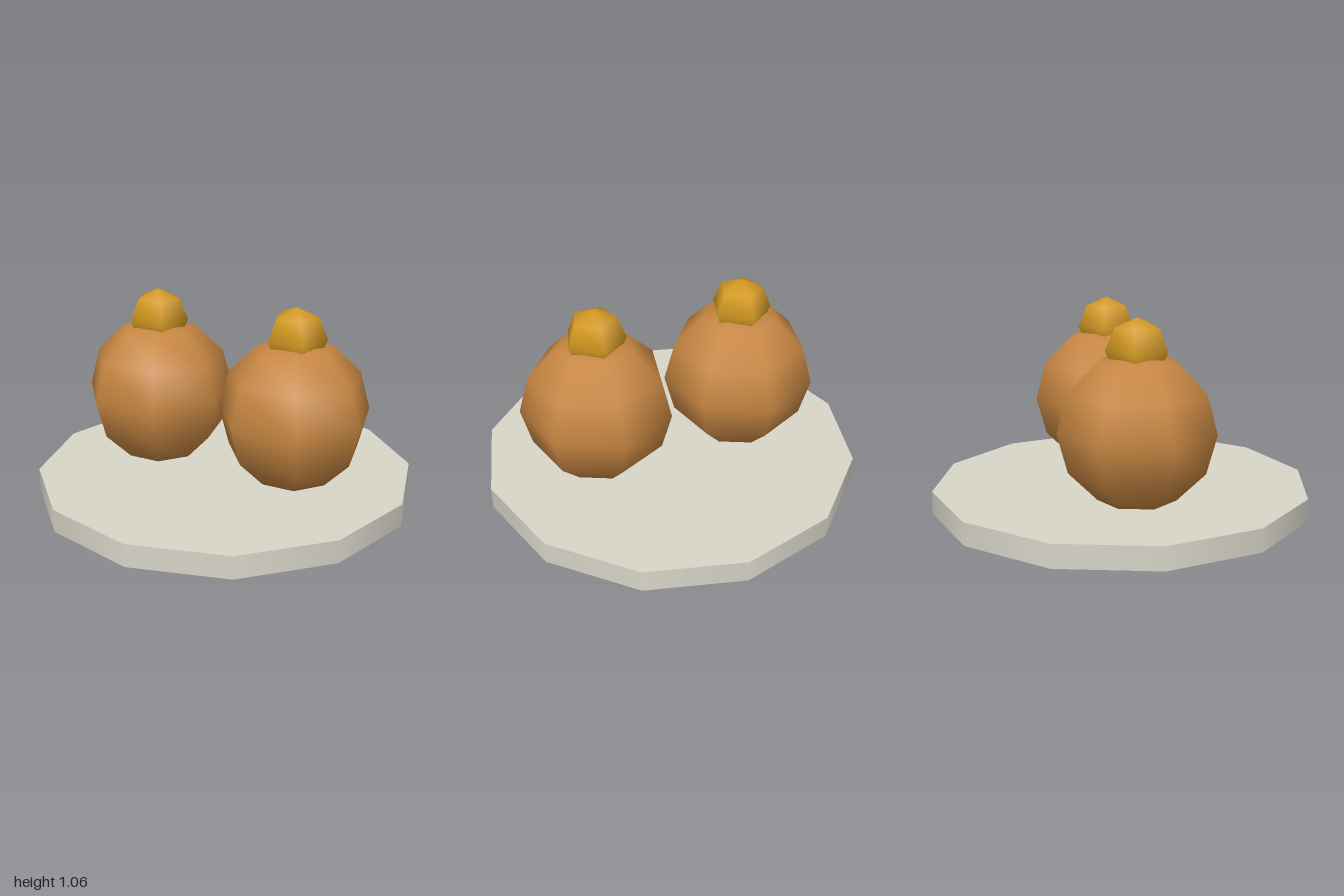
import * as THREE from 'three';

const flat = (name, color) => {
  const m = new THREE.MeshStandardMaterial({ color });
  m.name = name;
  return m;
};

export function createModel() {
  const stone = flat('stone', 0xd8d5c8);
  const caramel = flat('caramel', 0xc68642);
  const gold = flat('gold', 0xd49a22);

  const model = new THREE.Group();
  const add = (name, geometry, material, x, y, parent = model) => {
    const mesh = new THREE.Mesh(geometry, material);
    mesh.name = name;
    mesh.position.set(x, y, 0);
    parent.add(mesh);
  };

  // Twelve-sided plate
  add('plate', new THREE.CylinderGeometry(1, 1, 0.12, 12), stone, 0, 0.06);

  // Coarse smooth-shaded spheres, first corner pointing to the back
  const ball = new THREE.SphereGeometry(0.4, 7, 6, -Math.PI / 2);
  const knob = new THREE.SphereGeometry(0.16, 5, 4, -Math.PI / 2);

  // Two balls sunk slightly into the plate, each with a knob on top
  for (const [side, x] of [['left', 0.4], ['right', -0.4]]) {
    const piece = new THREE.Group();
    piece.name = `${side}Piece`;
    piece.position.x = x;
    add(`${side}Ball`, ball, caramel, 0, 0.5, piece);
    add(`${side}Knob`, knob, gold, 0, 0.9, piece);
    model.add(piece);
  }
  return model;
}
